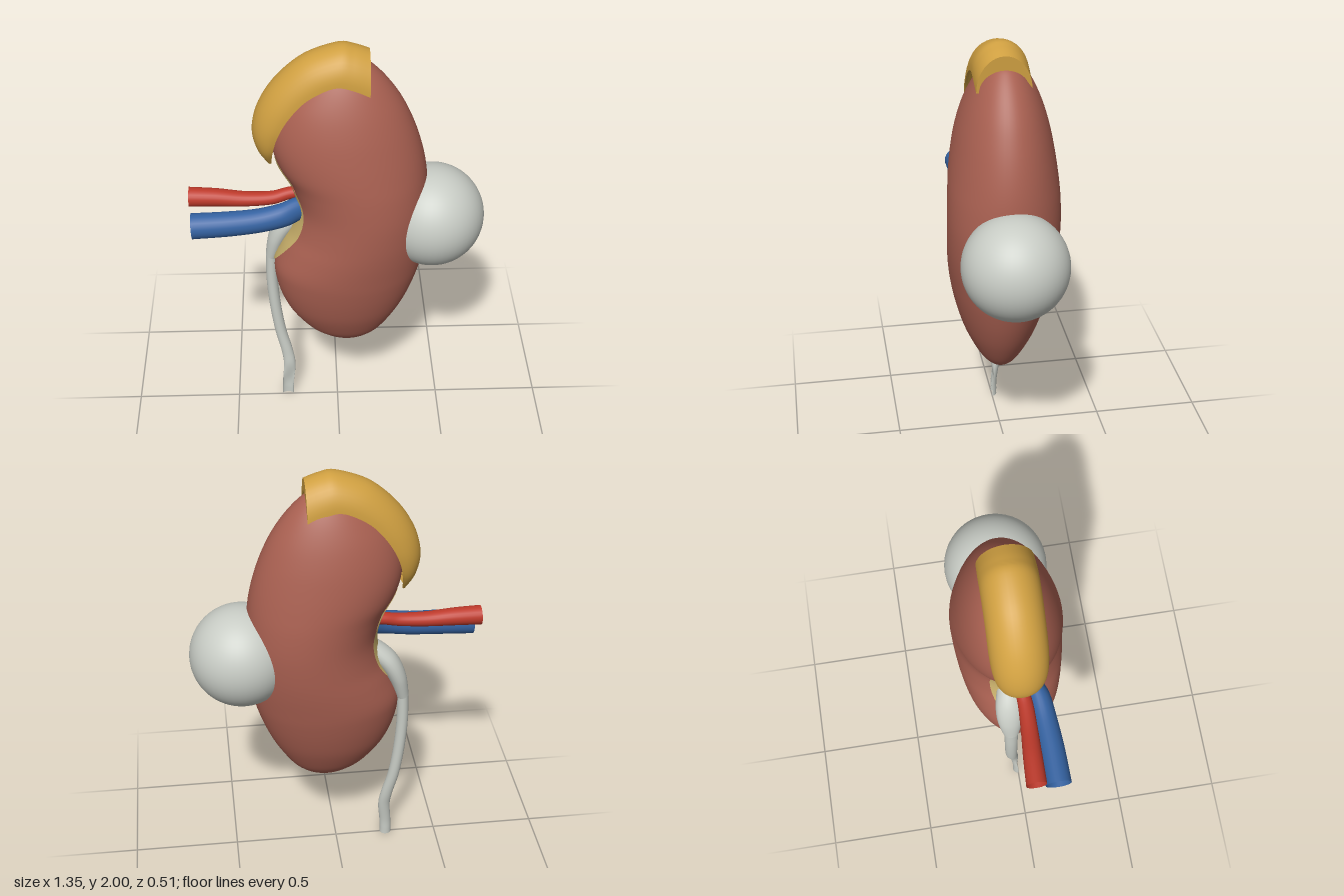
import * as THREE from 'three';
import { toCreasedNormals } from 'three/addons/utils/BufferGeometryUtils.js';

const material = (name, color, side = THREE.FrontSide) => {
  const m = new THREE.MeshStandardMaterial({ color, side });
  m.name = name;
  return m;
};

// Smoothly resample rows of numbers, column by column
function sampler(rows) {
  const columns = rows[0].map((_, k) => new THREE.SplineCurve(rows.map(r => new THREE.Vector2(r[k], 0))));
  return t => columns.map(c => c.getPoint(t).x);
}

// Skin a list of rings, each a list of [x, y, z]
function loft(rings, closed = true) {
  const n = rings[0].length, index = [];
  for (let i = 0; i < rings.length - 1; i++) {
    for (let j = 0; j < (closed ? n : n - 1); j++) {
      const a = i * n + j, b = i * n + (j + 1) % n;
      index.push(a, b, a + n, b, b + n, a + n);
    }
  }
  const g = new THREE.BufferGeometry();
  g.setAttribute('position', new THREE.Float32BufferAttribute(rings.flat(2), 3));
  g.setIndex(index);
  g.computeVertexNormals();
  return g;
}

// Open tapered tube; rows: x, y, z, radius in the xy plane, radius along z, front groove
function tube(rows, steps = 40, sides = 24) {
  const at = sampler(rows), rings = [];
  for (let i = 0; i <= steps; i++) {
    const t = i / steps, p = at(t);
    const before = at(Math.max(0, t - 0.01)), after = at(Math.min(1, t + 0.01));
    const dx = after[0] - before[0], dy = after[1] - before[1], len = Math.hypot(dx, dy);
    rings.push(Array.from({ length: sides }, (_, j) => {
      const a = j / sides * Math.PI * 2, u = p[3] * Math.cos(a);
      const s = Math.sin(a), v = p[4] * s * (s > 0 ? 1 - p[5] : 1);
      return [p[0] - dy / len * u, p[1] + dx / len * u, p[2] + v];
    }));
  }
  return loft(rings);
}

// Bean profile: y, left edge x, right edge x, half depth
const bodyAt = sampler([
  [0.405, 0.048, 0.052, 0.002], [0.42, -0.03, 0.125, 0.047], [0.45, -0.09, 0.178, 0.078],
  [0.5, -0.15, 0.225, 0.113], [0.6, -0.225, 0.288, 0.163], [0.7, -0.27, 0.335, 0.197],
  [0.8, -0.293, 0.37, 0.222], [0.88, -0.293, 0.39, 0.236], [0.98, -0.252, 0.405, 0.248],
  [1.08, -0.205, 0.412, 0.254], [1.2, -0.183, 0.414, 0.256], [1.32, -0.212, 0.407, 0.252],
  [1.42, -0.268, 0.394, 0.243], [1.52, -0.294, 0.37, 0.228], [1.62, -0.285, 0.335, 0.207],
  [1.72, -0.245, 0.288, 0.176], [1.81, -0.175, 0.228, 0.136], [1.88, -0.1, 0.165, 0.092],
  [1.915, -0.045, 0.115, 0.053], [1.93, 0.028, 0.032, 0.002]]);

function bodyPoint(t, angle, grow = 0) {
  const [y, left, right, depth] = bodyAt(t);
  const tilt = 0.015 * (1.17 - y) / 0.76;
  return [(left + right) / 2 + ((right - left) / 2 + grow) * Math.cos(angle), y,
    tilt - (depth + grow) * Math.sin(angle)];
}

// Cap over the upper pole: a thick arch swept along the crown
function capGeometry() {
  // crown x, y, rim x, y, half width
  const at = sampler([
    [-0.312, 1.425, -0.295, 1.437, 0.045], [-0.358, 1.5, -0.287, 1.52, 0.095],
    [-0.377, 1.6, -0.265, 1.61, 0.118], [-0.347, 1.72, -0.22, 1.7, 0.125],
    [-0.27, 1.84, -0.15, 1.785, 0.125], [-0.15, 1.945, -0.07, 1.838, 0.125],
    [0, 2, 0, 1.86, 0.125], [0.07, 1.993, 0.07, 1.842, 0.125], [0.138, 1.97, 0.136, 1.81, 0.123]]);
  const N = 20;
  const ring = (t, outer, inner) => {
    const [cx, cy, rx, ry, w] = at(t);
    const point = (k, j) => {
      const a = (j / N - 0.5) * Math.PI, c = k * Math.cos(a);
      return [rx + (cx - rx) * c, ry + (cy - ry) * c, w * (0.75 + 0.25 * k) * Math.sin(a)];
    };
    const arch = Array.from({ length: N + 1 }, (_, j) => j);
    return [...arch.map(j => point(outer, j)), ...arch.reverse().map(j => point(inner, j))];
  };
  const rings = [ring(0, 0.6, 0.6)];
  for (let i = 0; i <= 48; i++) rings.push(ring(i / 48, 1, 0.6));
  rings.push(ring(1, 0.6, 0.6));
  return toCreasedNormals(loft(rings), 0.8);
}

export function createModel() {
  const group = new THREE.Group();
  const brown = material('kidney brown', 0xa96051);
  const gold = material('cap gold', 0xd0a041, THREE.DoubleSide);
  const tan = material('fat tan', 0xcbb26c, THREE.DoubleSide);
  const grey = material('pale grey', 0xc8ccc5, THREE.DoubleSide);
  const red = material('artery red', 0xbe3a2b, THREE.DoubleSide);
  const blue = material('vein blue', 0x3563a2, THREE.DoubleSide);
  const add = (name, geometry, mat) => {
    const mesh = new THREE.Mesh(geometry, mat);
    mesh.name = name;
    group.add(mesh);
    return mesh;
  };

  // Bean-shaped body
  const bodyRings = [];
  for (let i = 0; i <= 95; i++) {
    bodyRings.push(Array.from({ length: 64 }, (_, j) => bodyPoint(i / 95, j / 32 * Math.PI)));
  }
  add('kidneyBody', loft(bodyRings), brown);

  // Lens-shaped fat patch lining the inner notch
  const patch = [];
  for (let i = 0; i <= 30; i++) {
    const s = i / 30, half = 0.02 + 0.45 * Math.pow(Math.sin(Math.PI * s), 0.7);
    patch.push(Array.from({ length: 17 }, (_, j) =>
      bodyPoint((7 + 5.2 * s) / 19, Math.PI + half * (j / 8 - 1), 0.006)));
  }
  add('hilumFat', loft(patch, false), tan);

  add('adrenalCap', capGeometry(), gold);

  // Round cyst on the outer side
  add('cyst', new THREE.SphereGeometry(0.24, 48, 32), grey).position.set(0.435, 1.115, 0);

  // Vessels, open at the far end
  add('artery', tube([
    [-0.675, 1.24, 0.008, 0.045, 0.046, 0], [-0.55, 1.237, 0.012, 0.041, 0.043, 0],
    [-0.42, 1.23, 0.018, 0.034, 0.038, 0], [-0.3, 1.235, 0.02, 0.03, 0.034, 0],
    [-0.22, 1.252, 0.01, 0.028, 0.03, 0], [-0.12, 1.265, 0, 0.025, 0.028, 0]]), red);
  add('vein', tube([
    [-0.663, 1.148, 0.11, 0.06, 0.058, 0], [-0.5, 1.155, 0.108, 0.058, 0.056, 0],
    [-0.36, 1.165, 0.1, 0.056, 0.053, 0], [-0.25, 1.185, 0.088, 0.057, 0.05, 0],
    [-0.18, 1.2, 0.06, 0.057, 0.046, 0], [-0.09, 1.205, 0.02, 0.05, 0.04, 0]]), blue);

  // Funnel and drain tube, grooved open at its lower end
  add('renalPelvis', tube([
    [-0.16, 1.13, -0.03, 0.045, 0.055, 0], [-0.235, 1.06, -0.04, 0.048, 0.065, 0],
    [-0.282, 0.97, -0.045, 0.042, 0.058, 0], [-0.311, 0.86, -0.045, 0.029, 0.036, 0]]), grey);
  add('ureter', tube([
    [-0.311, 0.865, -0.045, 0.027, 0.033, 0], [-0.313, 0.72, -0.045, 0.027, 0.031, 0],
    [-0.302, 0.56, -0.043, 0.027, 0.03, 0], [-0.28, 0.4, -0.038, 0.027, 0.028, 0],
    [-0.25, 0.27, -0.026, 0.028, 0.024, 0], [-0.24, 0.19, -0.014, 0.029, 0.023, 0.3],
    [-0.248, 0.09, -0.002, 0.028, 0.024, 1.5], [-0.251, 0.03, 0, 0.028, 0.025, 1.6],
    [-0.251, 0, 0, 0.028, 0.025, 1.6]], 64), grey);

  return group;
}
